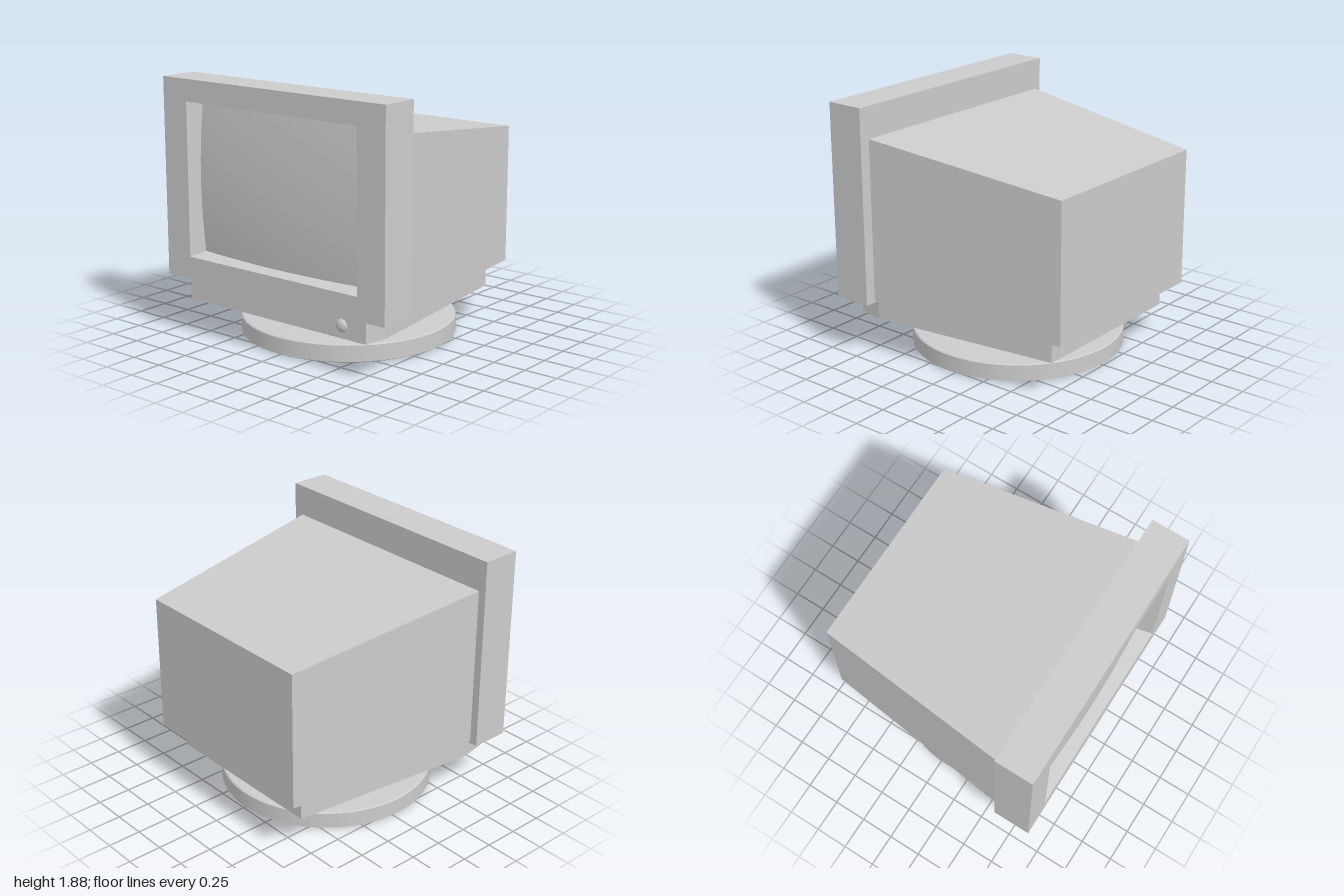
import * as THREE from 'three';

const material = new THREE.MeshStandardMaterial({ color: 0xcccccc });

function add(parent, name, geometry, x = 0, y = 0, z = 0) {
  const mesh = new THREE.Mesh(geometry, material);
  mesh.name = name;
  mesh.position.set(x, y, z);
  parent.add(mesh);
  return mesh;
}

// Flat-faced skin through rectangles [x0, x1, y0, y1, z], listed back to front
function loftRects(rects, capEnd = true) {
  const loops = rects.map(([x0, x1, y0, y1, z]) =>
    [[x0, y0, z], [x1, y0, z], [x1, y1, z], [x0, y1, z]]);
  const positions = [];
  const quad = (a, b, c, d) => positions.push(...a, ...b, ...c, ...a, ...c, ...d);
  for (let i = 0; i < loops.length - 1; i++) {
    const a = loops[i], b = loops[i + 1];
    for (let j = 0; j < 4; j++) {
      const k = (j + 1) % 4;
      quad(a[j], a[k], b[k], b[j]);
    }
  }
  const [p, q, r, s] = loops[0];
  quad(s, r, q, p);
  if (capEnd) quad(...loops[loops.length - 1]);
  const geometry = new THREE.BufferGeometry();
  geometry.setAttribute('position', new THREE.Float32BufferAttribute(positions, 3));
  geometry.computeVertexNormals();
  return geometry;
}

// Slightly bulging glass that meets the sloped walls of the frame
function screenGeometry(halfWidth, halfHeight) {
  const geometry = new THREE.PlaneGeometry(2 * halfWidth, 2 * halfHeight, 24, 18);
  const p = geometry.attributes.position;
  for (let i = 0; i < p.count; i++) {
    const u = p.getX(i) / halfWidth, v = p.getY(i) / halfHeight;
    p.setZ(i, -0.035 * u * u - 0.03 * v * v);
  }
  geometry.computeVertexNormals();
  return geometry;
}

// Round part with crisp edges: each profile segment is its own smooth band
function turned(parent, name, profile, x, z) {
  const group = new THREE.Group();
  group.name = name;
  group.position.set(x, 0, z);
  for (let i = 0; i < profile.length - 1; i++) {
    const points = [profile[i], profile[i + 1]].map(([r, y]) => new THREE.Vector2(r, y));
    add(group, name + 'Band' + (i + 1), new THREE.LatheGeometry(points, 64));
  }
  parent.add(group);
}

export function createModel() {
  const model = new THREE.Group();
  model.name = 'deskMonitor';

  // Front frame with a recessed, tapering opening
  add(model, 'frontFrame', loftRects([
    [-1, 1, 0.43, 1.885, 0.62],
    [-1, 1, 0.43, 1.885, 0.91],
    [-0.775, 0.77, 0.595, 1.725, 0.91],
    [-0.727, 0.722, 0.627, 1.69, 0.75],
  ], false));
  add(model, 'screen', screenGeometry(0.77, 0.56), 0, 1.16, 0.845);

  // Rear housing, narrowing and sloping down to the back
  add(model, 'rearHousing', loftRects([
    [-0.755, 0.735, 0.445, 1.47, -0.91],
    [-0.94, 0.92, 0.445, 1.65, 0.625],
  ]));

  // Plinth under the housing, with the control panel at its front
  add(model, 'plinth', loftRects([
    [-0.675, 0.65, 0.26, 0.446, -0.775],
    [-0.855, 0.83, 0.26, 0.446, 0.67],
    [-0.825, 0.805, 0.26, 0.446, 0.86],
  ]));
  add(model, 'powerKnob', new THREE.SphereGeometry(0.048, 24, 16), 0.6, 0.35, 0.858)
    .scale.z = 0.55;
  add(model, 'indicatorLight', new THREE.SphereGeometry(0.007, 10, 8), 0.505, 0.32, 0.86);

  // Swivel neck and round foot
  turned(model, 'swivelNeck', [[0.545, 0.135], [0.545, 0.27]], -0.01, 0.05);
  turned(model, 'roundFoot', [
    [0, 0], [0.765, 0], [0.79, 0.012], [0.79, 0.13], [0.78, 0.138], [0.55, 0.148], [0, 0.148],
  ], -0.01, 0.045);

  return model;
}
